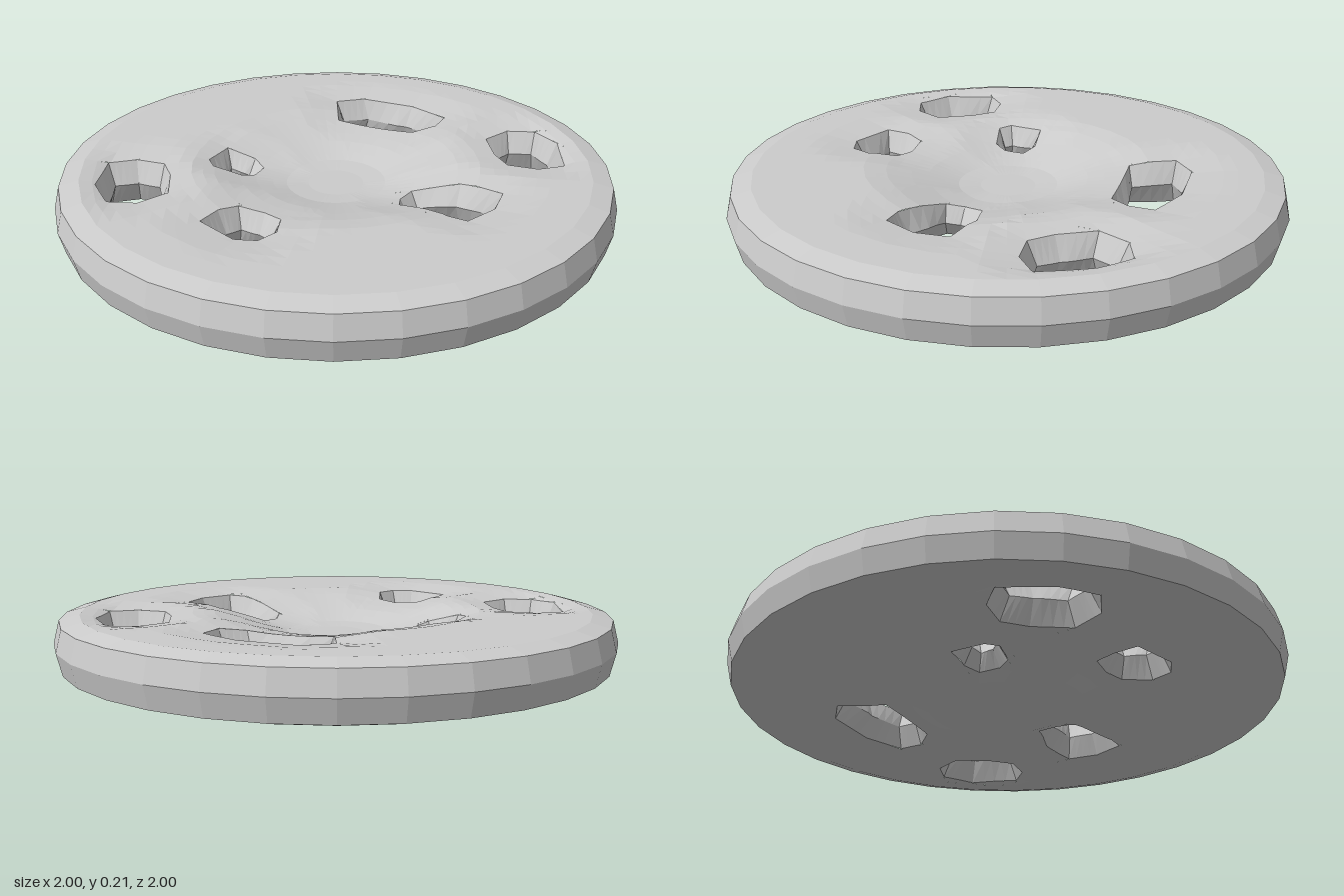
import * as THREE from 'three';

const SIDES = 32;
const FACE_R = 0.91;

// Convex hole outlines [x, z], clockwise seen from above
const sideHole = [[-0.58, -0.59], [-0.49, -0.54], [-0.44, -0.44], [-0.48, -0.35], [-0.57, -0.24], [-0.69, -0.25], [-0.76, -0.33], [-0.72, -0.46]];
const HOLES = [
  sideHole,
  sideHole.map(([x, z]) => [-x, -z]),
  [[-0.17, -0.41], [-0.12, -0.31], [-0.13, -0.25], [-0.2, -0.22], [-0.25, -0.23], [-0.31, -0.32], [-0.29, -0.37]],
  [[0.44, -0.44], [0.54, -0.38], [0.62, -0.18], [0.62, -0.01], [0.53, 0.02], [0.44, -0.02], [0.32, -0.31]],
  [[-0.53, -0.02], [-0.45, -0.01], [-0.41, 0.08], [-0.41, 0.16], [-0.49, 0.23], [-0.57, 0.23], [-0.62, 0.17], [-0.62, 0]],
  [[0.11, 0.27], [0.21, 0.41], [0.24, 0.57], [0.13, 0.62], [0, 0.61], [-0.02, 0.54], [-0.01, 0.32], [0.04, 0.28]],
];

// Height profiles [radius, y]: dished top, shallow boss underneath
const TOP = [[0, 0.12], [0.1, 0.12], [0.18, 0.127], [0.35, 0.175], [0.44, 0.198], [0.52, 0.21], [1, 0.21]];
const BOTTOM = [[0, 0], [0.23, 0], [0.36, 0.025], [0.52, 0.012], [1, 0.012]];
const RINGS = [0, 0.1, 0.18, 0.23, 0.29, 0.35, 0.4, 0.44, 0.48, 0.52, 0.57, 0.62, 0.67, 0.72, 0.77, 0.82, 0.865, FACE_R];

const lerp = THREE.MathUtils.lerp;
const clamp01 = (t) => Math.min(1, Math.max(0, t));

function sample(profile, r) {
  const i = Math.max(1, profile.findIndex((p) => p[0] >= r));
  const [a, b] = [profile[i - 1], profile[i]];
  return lerp(a[1], b[1], (r - a[0]) / (b[0] - a[0]));
}

// Positive on the inner side of edge a-b
const side = (p, a, b) => (b[0] - a[0]) * (p[1] - a[1]) - (b[1] - a[1]) * (p[0] - a[0]);

function holeDistance(p, hole) {
  let best = Infinity;
  let inside = true;
  hole.forEach((a, i) => {
    const b = hole[(i + 1) % hole.length];
    const d = [b[0] - a[0], b[1] - a[1]];
    const t = clamp01(((p[0] - a[0]) * d[0] + (p[1] - a[1]) * d[1]) / (d[0] ** 2 + d[1] ** 2));
    best = Math.min(best, Math.hypot(p[0] - a[0] - t * d[0], p[1] - a[1] - t * d[1]));
    if (side(p, a, b) < 0) inside = false;
  });
  return inside ? 0 : best;
}

// Surface sinks gently towards each hole
function height(p, top) {
  const r = Math.hypot(p[0], p[1]);
  const near = Math.min(...HOLES.map((h) => holeDistance(p, h)));
  const dent = 0.018 * clamp01(1 - near / 0.14) * clamp01((0.9 - r) / 0.07);
  return top ? sample(TOP, r) - dent : sample(BOTTOM, r) + dent;
}

function clip(poly, a, b, sign) {
  const out = [];
  poly.forEach((p, i) => {
    const q = poly[(i + 1) % poly.length];
    const sp = sign * side(p, a, b);
    const sq = sign * side(q, a, b);
    if (sp >= 0) out.push(p);
    if (sp * sq < 0) {
      const t = sp / (sp - sq);
      out.push([lerp(p[0], q[0], t), lerp(p[1], q[1], t)]);
    }
  });
  return out.length > 2 ? out : [];
}

// Pieces of a convex polygon left outside a convex hole
function subtract(poly, hole) {
  const pieces = [];
  let rest = poly;
  for (let i = 0; i < hole.length; i++) {
    const a = hole[i];
    const b = hole[(i + 1) % hole.length];
    const outer = clip(rest, a, b, -1);
    if (outer.length) pieces.push(outer);
    rest = clip(rest, a, b, 1);
    if (!rest.length) return [poly];
  }
  return pieces;
}

// Polar grid point lying on a straight-sided ring
function gridPoint(r, j) {
  const corner = (k) => {
    const a = (k / SIDES) * Math.PI * 2;
    return [r * Math.sin(a), r * Math.cos(a)];
  };
  const a = corner(Math.floor(j / 2));
  const b = corner(Math.ceil(j / 2));
  return [(a[0] + b[0]) / 2, (a[1] + b[1]) / 2];
}

function meshFrom(name, positions, material) {
  const geometry = new THREE.BufferGeometry();
  geometry.setAttribute('position', new THREE.Float32BufferAttribute(positions, 3));
  geometry.computeVertexNormals();
  const mesh = new THREE.Mesh(geometry, material);
  mesh.name = name;
  return mesh;
}

function facePositions(top) {
  const out = [];
  for (let i = 0; i < RINGS.length - 1; i++) {
    for (let j = 0; j < SIDES * 2; j++) {
      const [a, b] = [gridPoint(RINGS[i], j), gridPoint(RINGS[i + 1], j)];
      const [c, d] = [gridPoint(RINGS[i + 1], j + 1), gridPoint(RINGS[i], j + 1)];
      let polys = i === 0 ? [[a, b, c]] : [[a, b, c], [a, c, d]];
      for (const hole of HOLES) polys = polys.flatMap((p) => subtract(p, hole));
      for (const poly of polys) {
        const v = poly.map((p) => [p[0], height(p, top), p[1]]);
        if (!top) v.reverse();
        for (let k = 1; k < v.length - 1; k++) out.push(...v[0], ...v[k], ...v[k + 1]);
      }
    }
  }
  return out;
}

// Hole wall: pinched to a narrower waist halfway down
function wallPositions(hole) {
  const out = [];
  const n = hole.length;
  const c = [0, 1].map((k) => hole.reduce((s, p) => s + p[k], 0) / n);
  const column = (p) => {
    const d = Math.hypot(p[0] - c[0], p[1] - c[1]);
    const s = 1 - 0.035 / d;
    const lo = height(p, false);
    const hi = height(p, true);
    return [
      [p[0], lo, p[1]],
      [lerp(c[0], p[0], s), (lo + hi) / 2, lerp(c[1], p[1], s)],
      [p[0], hi, p[1]],
    ];
  };
  const STEPS = 4;
  for (let i = 0; i < n; i++) {
    const [a, b] = [hole[i], hole[(i + 1) % n]];
    for (let k = 0; k < STEPS; k++) {
      const at = (t) => column([lerp(a[0], b[0], t), lerp(a[1], b[1], t)]);
      const [p, q] = [at(k / STEPS), at((k + 1) / STEPS)];
      for (let m = 0; m < 2; m++) {
        out.push(...p[m], ...q[m], ...q[m + 1], ...p[m], ...q[m + 1], ...p[m + 1]);
      }
    }
  }
  return out;
}

export function createModel() {
  const group = new THREE.Group();
  group.name = 'perforatedDisc';
  const material = new THREE.MeshStandardMaterial({ color: 0xcccccc, flatShading: true });

  // Dished top and underside
  group.add(meshFrom('topFace', facePositions(true), material));
  group.add(meshFrom('underside', facePositions(false), material));

  // Bevelled outer rim
  const rimProfile = [[FACE_R, 0.012], [0.98, 0.032], [1, 0.112], [0.98, 0.192], [FACE_R, 0.21]];
  const rim = new THREE.Mesh(
    new THREE.LatheGeometry(rimProfile.map(([r, y]) => new THREE.Vector2(r, y)), SIDES),
    material,
  );
  rim.name = 'outerRim';
  group.add(rim);

  // Walls of the through holes
  HOLES.forEach((hole, i) => group.add(meshFrom(`holeWall${i + 1}`, wallPositions(hole), material)));
  return group;
}
